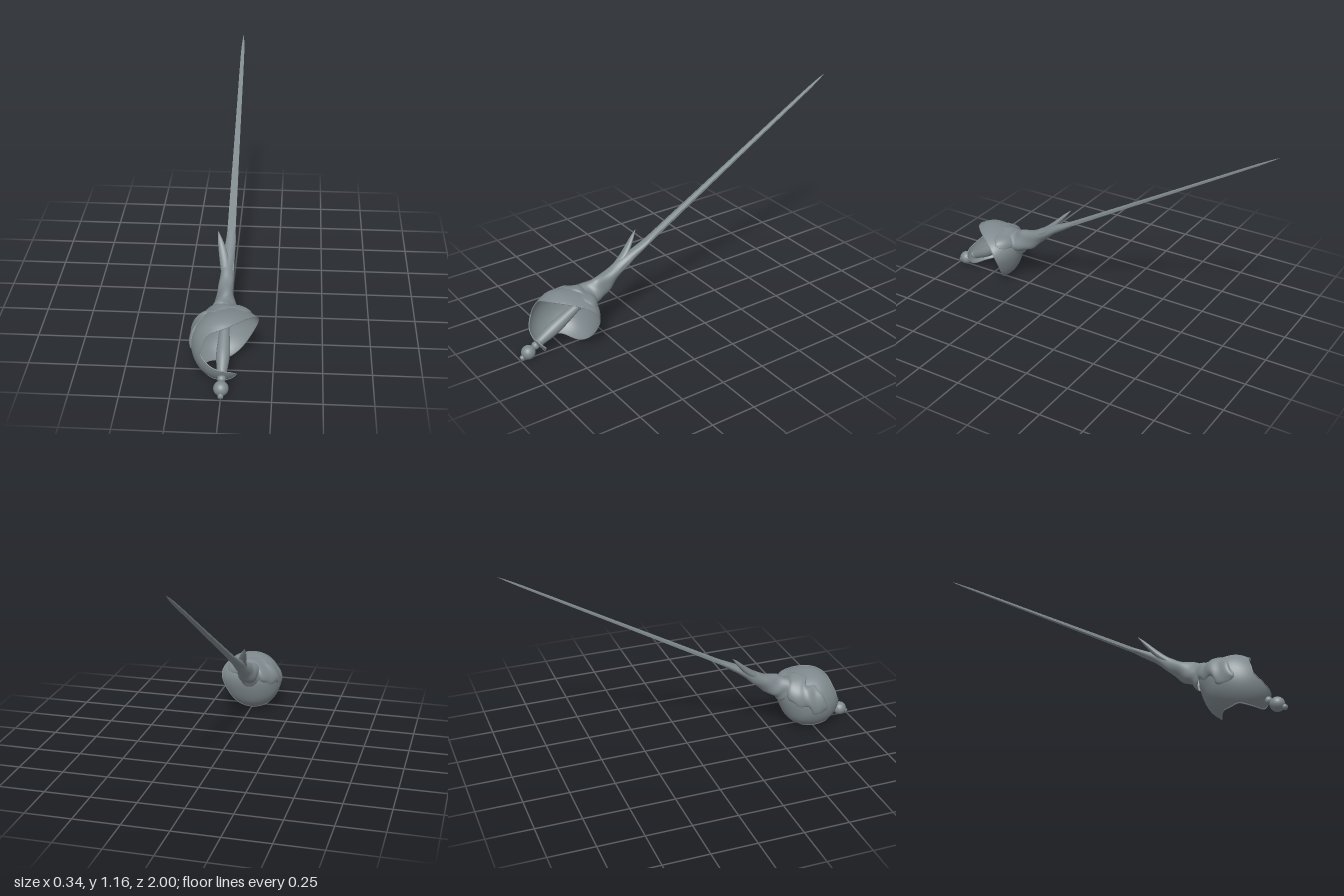
import * as THREE from 'three';
import { mergeVertices } from 'three/addons/utils/BufferGeometryUtils.js';

const rad = THREE.MathUtils.degToRad;

// Smooth surface from a rule f(u, v) -> Vector3, with u and v in 0..1
function surface(f, nu, nv) {
  const pos = [], index = [];
  for (let i = 0; i <= nu; i++)
    for (let j = 0; j <= nv; j++) pos.push(...f(i / nu, j / nv).toArray());
  for (let i = 0; i < nu; i++)
    for (let j = 0; j < nv; j++) {
      const a = i * (nv + 1) + j, b = a + nv + 1;
      index.push(a, b, a + 1, b, b + 1, a + 1);
    }
  let g = new THREE.BufferGeometry();
  g.setAttribute('position', new THREE.Float32BufferAttribute(pos, 3));
  g.setIndex(index);
  g = mergeVertices(g, 1e-5);
  g.computeVertexNormals();
  return g;
}

// Tube through stations [x, y, z, rx, rz], with optional surface lumps
function loft(stations, nu, lump = () => 0) {
  const path = new THREE.CatmullRomCurve3(stations.map(s => new THREE.Vector3(s[0], s[1], s[2])));
  const size = new THREE.SplineCurve(stations.map(s => new THREE.Vector2(s[3], s[4])));
  return surface((u, v) => {
    const p = path.getPoint(u), r = size.getPoint(u), a = (v % 1) * Math.PI * 2;
    const k = 1 + lump(u, a);
    return p.add(new THREE.Vector3(Math.cos(a) * r.x * k, 0, Math.sin(a) * r.y * k));
  }, nu, 28);
}

// Guard shell: alpha is measured from the closed right side, psi from the blade direction
const guardCentre = new THREE.Vector3(0, 0.3, 0);
function shellPoint(alpha, psi) {
  const front = Math.max(0, Math.cos(psi * 0.9));
  const lip = front * THREE.MathUtils.smoothstep(alpha, 1.3, 2.44);
  const pinch = Math.cos(psi) > 0 ? 1 - 0.08 * Math.sin(2 * psi) ** 2 : 1;
  const r = Math.sin(alpha) * (1 + 0.08 * lip) * pinch;
  return new THREE.Vector3(-0.165 * Math.cos(alpha) * (1 + 0.33 * lip),
    0.3 + (Math.cos(psi) > 0 ? 0.182 : 0.195) * r * Math.cos(psi), 0.168 * r * Math.sin(psi));
}

export function createModel() {
  const steel = new THREE.MeshStandardMaterial({ color: 0x7f898d, side: THREE.DoubleSide });
  steel.name = 'steel grey';

  const model = new THREE.Group();
  // The sword is built along +y, then leaned back with the pommel at the front
  const sword = new THREE.Group();
  sword.name = 'sword';
  sword.position.set(0, 0.018, 0.993);
  sword.rotation.x = -Math.PI / 3;
  model.add(sword);
  const add = (name, geometry) => {
    const mesh = new THREE.Mesh(geometry, steel);
    mesh.name = name;
    sword.add(mesh);
    return mesh;
  };
  const lathe = (points, n = 32) =>
    new THREE.LatheGeometry(points.map(p => new THREE.Vector2(p[0], p[1])), n);

  // Blade: slim faceted section
  const bladeGeometry = lathe([[0.029, 0.68], [0.026, 0.85], [0.022, 1.2], [0.017, 1.6],
    [0.0135, 2.0], [0.011, 2.17], [0.006, 2.25], [0, 2.295]], 6).toNonIndexed();
  bladeGeometry.scale(1, 1, 0.55);
  bladeGeometry.computeVertexNormals();
  add('blade', bladeGeometry).position.x = 0.004;

  // Pommel with end button and collar
  add('pommelButton', lathe([[0, -0.008], [0.012, -0.006], [0.015, 0.004], [0.012, 0.014]]));
  add('pommel', new THREE.SphereGeometry(0.038, 32, 20)).position.y = 0.046;
  add('pommelCollar', new THREE.SphereGeometry(0.022, 24, 16)).position.y = 0.097;

  // Handle swelling at the middle
  const grip = new THREE.SplineCurve([
    [0.018, 0.1], [0.024, 0.13], [0.033, 0.2], [0.034, 0.25], [0.028, 0.33],
    [0.022, 0.39], [0.021, 0.42]].map(p => new THREE.Vector2(...p)));
  add('handle', new THREE.LatheGeometry(grip.getPoints(24), 32));
  for (const [y, r] of [[0.125, 0.023], [0.395, 0.022]]) {
    const ring = add('handleRing', new THREE.TorusGeometry(r, 0.004, 8, 32));
    ring.position.y = y;
    ring.rotation.x = Math.PI / 2;
  }
  add('handleEnd', lathe([[0.021, 0.415], [0.024, 0.43], [0.022, 0.475]]));

  // Shell guard: open on the left, with scalloped corners, a flared lip
  // and a tongue at the pommel. Rim keys: psi, alpha
  const half = [[0, 140], [37, 134], [70, 122], [90, 101], [104, 64], [122, 53],
    [142, 51], [157, 70], [167, 103], [180, 116]].map(k => new THREE.Vector2(...k));
  const mirrored = half.slice(1).reverse().map(k => new THREE.Vector2(-k.x, k.y));
  const rim = new THREE.SplineCurve([...mirrored, ...half]);
  const guardPoint = (u, v) => {
    const key = rim.getPoint(v);
    return shellPoint(rad(key.y) * u, rad(key.x));
  };
  add('shellGuard', surface(guardPoint, 36, 144));
  const edge = [];
  for (let i = 0; i < 108; i++) edge.push(guardPoint(1, i / 108));
  add('guardRim', new THREE.TubeGeometry(new THREE.CatmullRomCurve3(edge, true), 216, 0.003, 8, true));

  // Root-like overlay creeping over the closed side of the guard
  add('guardOverlay', surface((u, v) => {
    const b = rad(-40 + 147 * u), w = v * 2 - 1;
    const ends = Math.pow(Math.max(0, Math.sin(Math.PI * u)), 0.4);
    const width = (0.46 + 0.1 * Math.sin(u * 17 + 1.5 * w) + 0.06 * Math.sin(u * 31)) * ends;
    const c = 0.22 + 0.1 * Math.sin(u * 5) + w * width;
    const bulge = Math.sqrt(Math.max(0, 1 - w * w)) * ends;
    const k = 1.004 + bulge * (0.075 + 0.03 * Math.sin(u * 21 + w * 3));
    const alpha = Math.acos(Math.sin(b) * Math.cos(c));
    const psi = Math.atan2(Math.sin(c), Math.cos(b) * Math.cos(c));
    return shellPoint(alpha, psi).sub(guardCentre).multiplyScalar(k).add(guardCentre);
  }, 60, 20));

  // Gnarled sleeve joining guard and blade
  add('branchSleeve', loft([
    [-0.005, 0.463, -0.002, 0.076, 0.07], [-0.008, 0.505, -0.006, 0.056, 0.062],
    [-0.006, 0.56, -0.01, 0.046, 0.058], [-0.006, 0.63, -0.01, 0.037, 0.042],
    [-0.006, 0.7, -0.006, 0.035, 0.032], [-0.003, 0.78, 0, 0.033, 0.024],
    [0.003, 0.86, 0, 0.028, 0.018], [0.004, 0.95, 0, 0.022, 0.012]], 48,
    (u, a) => (1 - u) * (0.1 * Math.sin(3 * a + u * 14) + 0.06 * Math.sin(2 * a - u * 25))));

  // Broken twig beside the blade
  add('twig', loft([
    [-0.01, 0.67, 0.002, 0.024, 0.02], [-0.021, 0.75, 0.013, 0.026, 0.019],
    [-0.035, 0.81, 0.03, 0.021, 0.014], [-0.049, 0.86, 0.046, 0.013, 0.009],
    [-0.06, 0.9, 0.059, 0.002, 0.002]], 24));

  return model;
}
